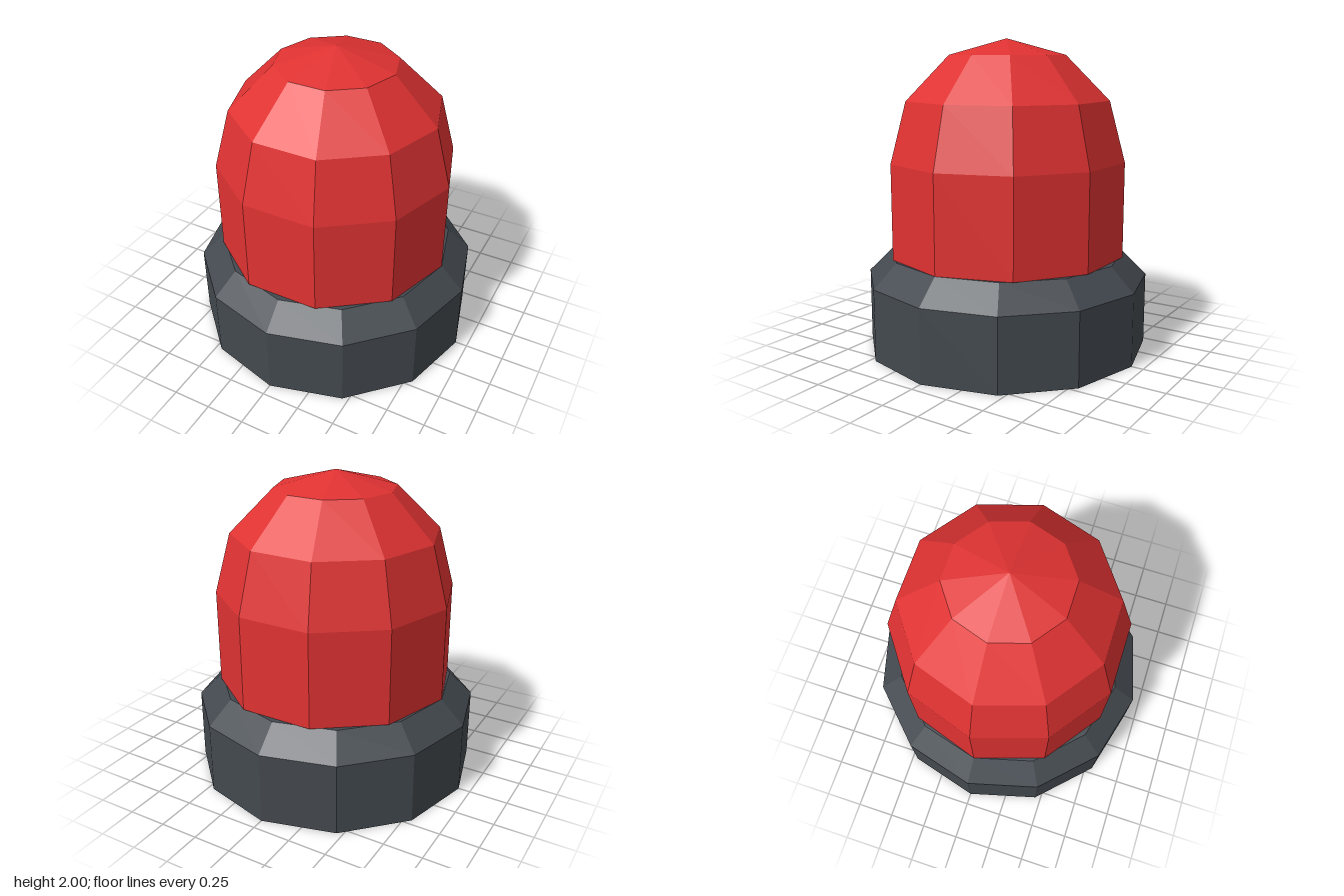
import * as THREE from 'three';

// Faceted solid of revolution from [radius, height] pairs, bottom to top
function facetedLathe(name, profile, sides, material) {
  const points = profile.map(([r, y]) => new THREE.Vector2(r, y));
  const geometry = new THREE.LatheGeometry(points, sides, Math.PI / 2).toNonIndexed();
  geometry.computeVertexNormals();
  const mesh = new THREE.Mesh(geometry, material);
  mesh.name = name;
  return mesh;
}

export function createModel() {
  const group = new THREE.Group();
  group.name = 'warningLight';

  const baseGrey = new THREE.MeshStandardMaterial({
    name: 'base grey', color: 0x43494f, flatShading: true, side: THREE.DoubleSide,
  });
  const lampRed = new THREE.MeshStandardMaterial({
    name: 'lamp red', color: 0xe03232, flatShading: true,
  });

  // Hollow base, open underneath, with a chamfered rim and a flat top
  group.add(facetedLathe('base', [[0.923, 0], [0.923, 0.465], [0.77, 0.617], [0, 0.617]], 12, baseGrey));

  // Lamp: straight wall below a hemisphere of three rings
  const radius = 0.77, domeY = 1.23, rings = 3;
  const profile = [[radius, 0.617]];
  for (let i = 0; i < rings; i++) {
    const a = (i / rings) * Math.PI / 2;
    profile.push([radius * Math.cos(a), domeY + radius * Math.sin(a)]);
  }
  profile.push([0, domeY + radius]);
  group.add(facetedLathe('lampDome', profile, 10, lampRed));

  return group;
}
